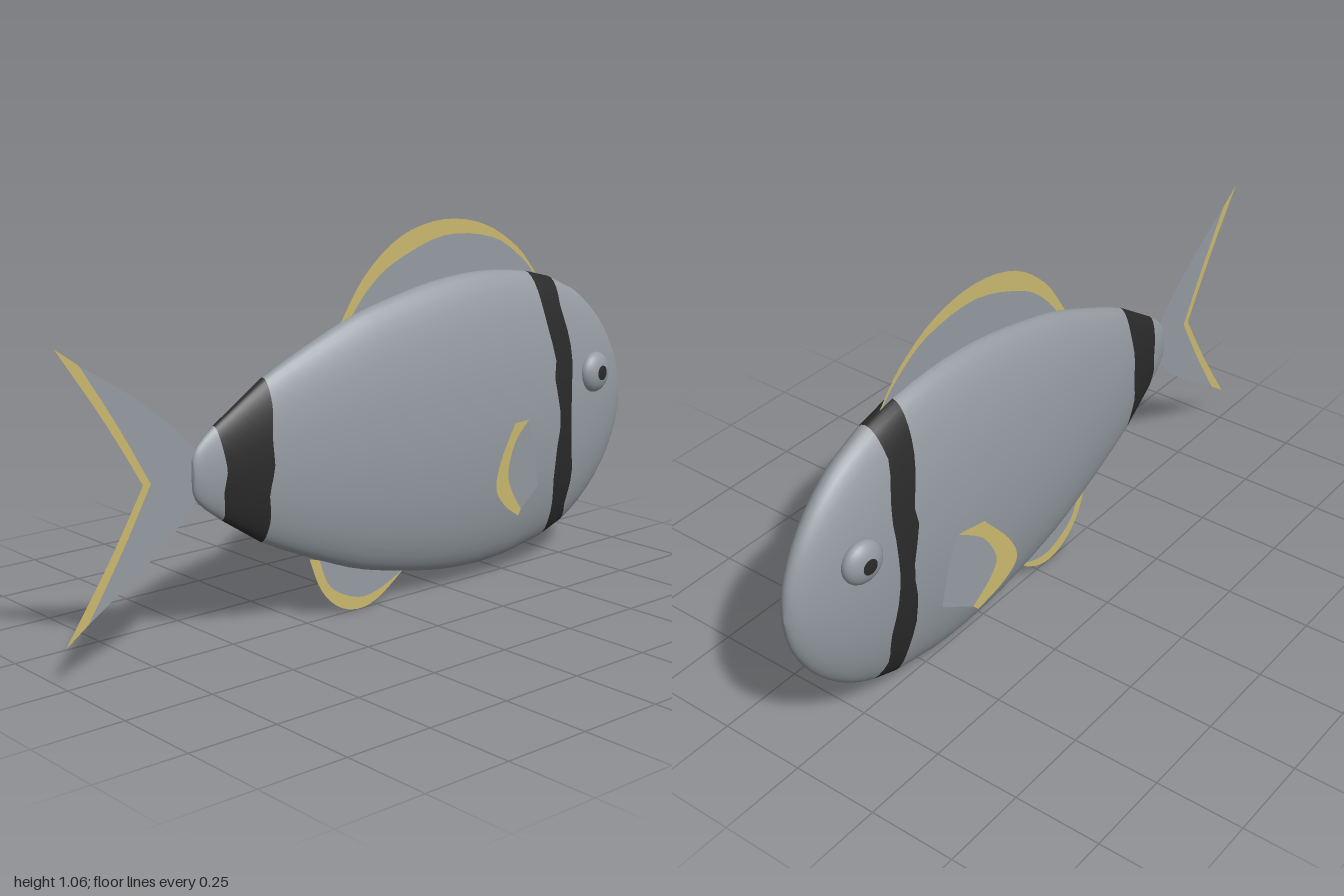
import * as THREE from 'three';

const MID = 0.475;      // height of the body axis
const FLAT = 0.25;      // body thickness relative to its height

const mat = (name, color, side = THREE.FrontSide) => {
  const m = new THREE.MeshStandardMaterial({ color, side });
  m.name = name;
  return m;
};

// Piecewise linear lookup in a list of [key, value] pairs with rising keys
function lookup(pairs, k) {
  if (k <= pairs[0][0]) return pairs[0][1];
  for (let i = 1; i < pairs.length; i++) {
    const [a, va] = pairs[i - 1], [b, vb] = pairs[i];
    if (k <= b) return va + (vb - va) * (k - a) / (b - a || 1);
  }
  return pairs[pairs.length - 1][1];
}

// Half height of the body along x
const profile = new THREE.SplineCurve([
  [-0.62, 0], [-0.617, 0.045], [-0.6, 0.075], [-0.54, 0.125], [-0.39, 0.222], [-0.13, 0.335],
  [0, 0.375], [0.2, 0.416], [0.38, 0.43], [0.55, 0.418], [0.68, 0.388], [0.78, 0.342],
  [0.86, 0.28], [0.92, 0.212], [0.96, 0.145], [0.985, 0.08], [0.996, 0]
].map(p => new THREE.Vector2(...p))).getPoints(240).map(p => [p.x, p.y]);

// Ragged stripe edges: [height, x]
const edges = {
  tailRear: [[0.36, -0.53], [0.42, -0.54], [0.48, -0.53], [0.54, -0.54], [0.6, -0.55]],
  tailFront: [[0.26, -0.405], [0.33, -0.4], [0.4, -0.41], [0.47, -0.395], [0.55, -0.4], [0.62, -0.39], [0.7, -0.39]],
  headRear: [[0.08, 0.645], [0.18, 0.64], [0.27, 0.625], [0.36, 0.625], [0.45, 0.64],
    [0.58, 0.61], [0.64, 0.62], [0.7, 0.6], [0.78, 0.585], [0.89, 0.575]],
  headFront: [[0.1, 0.735], [0.18, 0.705], [0.27, 0.715], [0.36, 0.695], [0.45, 0.685],
    [0.58, 0.69], [0.64, 0.695], [0.7, 0.685], [0.78, 0.665], [0.87, 0.675]]
};

// Body: elliptical rings from tail to nose, with material groups for the stripes
function bodyGeometry() {
  const cols = [-0.62, -0.6185, -0.617, -0.61, -0.6, -0.58, 'tailRear', 'tailFront'];
  for (let x = -0.34; x < 0.54; x += 0.06) cols.push(x);
  cols.push('headRear', 'headFront', 0.77, 0.81, 0.85, 0.88, 0.91, 0.935, 0.955, 0.97, 0.982, 0.99, 0.994, 0.996);
  const N = 48, pos = [], index = [], geo = new THREE.BufferGeometry();
  cols.forEach((c, i) => {
    for (let j = 0; j < N; j++) {
      const a = j / N * Math.PI * 2;
      let x = c;
      if (typeof c === 'string') {
        x = edges[c][2][1];
        for (let k = 0; k < 4; k++) x = lookup(edges[c], MID + lookup(profile, x) * Math.cos(a));
      }
      const h = lookup(profile, x);
      pos.push(x, MID + h * Math.cos(a), h * FLAT * Math.sin(a));
    }
    if (i === cols.length - 1) return;
    geo.addGroup(index.length, N * 6, c === 'tailRear' || c === 'headRear' ? 1 : 0);
    for (let j = 0; j < N; j++) {
      const a = i * N + j, b = i * N + (j + 1) % N;
      index.push(a, b, a + N, b, b + N, a + N);
    }
  });
  geo.setAttribute('position', new THREE.Float32BufferAttribute(pos, 3));
  geo.setIndex(index);
  geo.computeVertexNormals();
  return geo;
}

const smooth = pts => new THREE.SplineCurve(pts.map(p => new THREE.Vector2(...p))).getPoints(24);
const flat = pts => new THREE.ShapeGeometry(new THREE.Shape(pts));

export function createModel() {
  const model = new THREE.Group();
  model.name = 'fish';
  const grey = mat('scaleGrey', 0x949ba1);
  const finGrey = mat('finGrey', 0x949ba1, THREE.DoubleSide);
  const yellow = mat('finYellow', 0xcab86f, THREE.DoubleSide);
  const black = mat('stripeBlack', 0x2a2a2a);
  const add = (name, geo, material, parent = model) => {
    const m = new THREE.Mesh(geo, material);
    m.name = name;
    parent.add(m);
    return m;
  };

  add('body', bodyGeometry(), [grey, black]);

  // Fin web between the inner curve and the root, plus a yellow rim outside it
  const fin = (name, outer, inner, root, bend = g => g) => {
    const group = new THREE.Group();
    group.name = name;
    model.add(group);
    const o = smooth(outer), n = smooth(inner);
    add(name + 'Web', bend(flat([...n, ...root.map(p => new THREE.Vector2(...p))])), finGrey, group);
    add(name + 'Rim', bend(flat([...o, ...n.slice().reverse()])), yellow, group);
  };

  fin('dorsalFin',
    [[-0.13, 0.805], [-0.04, 0.93], [0.09, 1.025], [0.25, 1.06], [0.41, 1.035], [0.545, 0.96], [0.625, 0.875]],
    [[-0.1, 0.81], [-0.03, 0.89], [0.065, 0.955], [0.25, 1.015], [0.44, 0.997], [0.56, 0.93], [0.62, 0.872]],
    [[0.5, 0.8], [0, 0.75]]);
  fin('analFin',
    [[-0.24, 0.18], [-0.2, 0.085], [-0.14, 0.025], [-0.065, 0.002], [0.01, 0.02], [0.1, 0.08]],
    [[-0.205, 0.17], [-0.165, 0.085], [-0.07, 0.037], [0.01, 0.043], [0.095, 0.08]],
    [[0.05, 0.2], [-0.15, 0.25]]);

  // Forked tail, one lobe above and one below the axis
  for (const s of [1, -1]) {
    const lobe = pts => pts.map(([x, y]) => [x, MID + s * y]);
    fin(s > 0 ? 'upperTail' : 'lowerTail',
      lobe([[-1, 0.367], [-0.87, 0.175], [-0.765, 0]]),
      lobe([[-0.935, 0.321], [-0.83, 0.155], [-0.742, 0]]),
      lobe([[-0.59, 0], [-0.59, 0.055], [-0.612, 0.073], [-0.68, 0.143], [-0.79, 0.228]]));
  }

  for (const s of [1, -1]) {
    const side = s > 0 ? 'left' : 'right';
    const facing = side === 'left' ? 'right' : 'left';
    const label = s > 0 ? facing : 'left';   // nose points to +x, so +z is the fish's right flank

    // Pectoral fin leaning away from the flank
    fin(label + 'PectoralFin',
      [[0.405, 0.482], [0.33, 0.39], [0.305, 0.315], [0.35, 0.255], [0.43, 0.205]],
      [[0.485, 0.478], [0.41, 0.43], [0.37, 0.35], [0.39, 0.29], [0.445, 0.222]],
      [[0.54, 0.27], [0.515, 0.4]],
      g => {
        const p = g.attributes.position;
        for (let i = 0; i < p.count; i++) p.setZ(i, s * (0.107 + (0.52 - p.getX(i)) * 0.265));
        g.computeVertexNormals();
        return g;
      });

    // Bulging eye with a dark pupil cap
    const eye = new THREE.Group();
    eye.name = label + 'Eye';
    eye.position.set(0.8, 0.573, s * 0.08);
    eye.rotation.y = s * 0.12;
    eye.scale.set(1, 1, 0.55);
    model.add(eye);
    const cap = (from, len) => new THREE.SphereGeometry(0.061, 28, 14, 0, Math.PI * 2, from, len).rotateX(s * Math.PI / 2);
    add(label + 'Eyeball', cap(0.37, Math.PI - 0.37), grey, eye);
    add(label + 'Pupil', cap(0, 0.37), black, eye);
  }
  return model;
}
